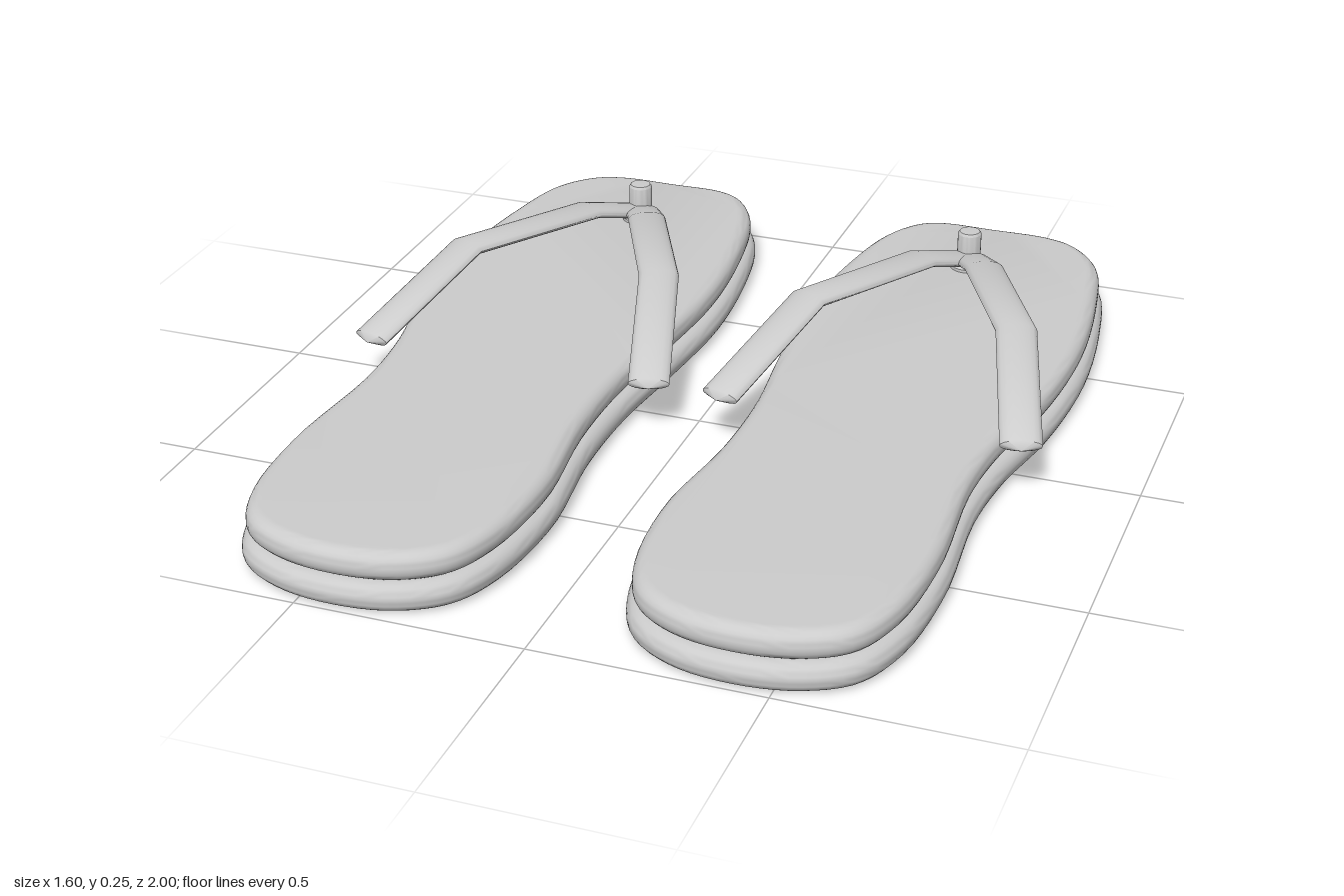
import * as THREE from 'three';
import { toCreasedNormals } from 'three/addons/utils/BufferGeometryUtils.js';

const material = new THREE.MeshStandardMaterial({ color: 0xcccccc });
const POST_X = 0.42, POST_Z = -0.735;

// Sole outline as [x, z], running around from the toe
const OUTLINE = [
  [0.42, -0.995], [0.56, -0.993], [0.64, -0.962], [0.715, -0.87], [0.757, -0.69], [0.782, -0.42],
  [0.765, -0.15], [0.72, 0.08], [0.706, 0.27], [0.725, 0.57], [0.704, 0.8], [0.65, 0.92],
  [0.55, 0.98], [0.42, 1.0], [0.29, 0.98], [0.19, 0.915], [0.138, 0.8], [0.115, 0.57],
  [0.145, 0.3], [0.146, 0.08], [0.122, -0.15], [0.102, -0.42], [0.124, -0.69], [0.165, -0.87],
  [0.225, -0.962], [0.29, -0.993],
];

function part(name, geometry) {
  const mesh = new THREE.Mesh(geometry, material);
  mesh.name = name;
  return mesh;
}

// One rounded-edge slab of the sole
function soleLayer(name, y, height, inset) {
  const curve = new THREE.CatmullRomCurve3(OUTLINE.map(([x, z]) => new THREE.Vector3(x, -z, 0)), true);
  const points = curve.getPoints(120).slice(0, -1).map((p) => new THREE.Vector2(p.x, p.y));
  const bevel = 0.029;
  const geometry = new THREE.ExtrudeGeometry(new THREE.Shape(points), {
    depth: height - 2 * bevel, bevelThickness: bevel, bevelSize: 0.032,
    bevelOffset: -0.032 - inset, bevelSegments: 6,
  });
  geometry.rotateX(-Math.PI / 2);
  geometry.translate(0, y + bevel, 0);
  return part(name, toCreasedNormals(geometry, 0.9));
}

// Flattened oval band lofted along a bent path; side is +1 or -1 about the post
function strap(name, side) {
  const path = [
    [0.005, 0.15, -0.73], [0.075, 0.203, -0.58], [0.24, 0.232, -0.225], [0.337, 0.127, 0.1],
  ].map(([x, y, z]) => new THREE.Vector3(POST_X + side * x, y, z));
  const halfWidths = [0.042, 0.045, 0.046, 0.046];
  const SIDES = 20, HALF_THICKNESS = 0.016;
  const up = new THREE.Vector3(0, 1, 0);
  const positions = [], index = [];
  path.forEach((centre, i) => {
    const before = path[Math.max(i - 1, 0)], after = path[Math.min(i + 1, path.length - 1)];
    const along = after.clone().sub(before).normalize();
    const across = up.clone().cross(along).normalize();
    const normal = along.clone().cross(across);
    for (let j = 0; j < SIDES; j++) {
      const a = (j / SIDES) * Math.PI * 2;
      const p = centre.clone()
        .addScaledVector(across, Math.cos(a) * halfWidths[i])
        .addScaledVector(normal, Math.sin(a) * HALF_THICKNESS);
      positions.push(p.x, p.y, p.z);
    }
  });
  // Skin between neighbouring sections
  for (let i = 0; i < path.length - 1; i++) {
    for (let j = 0; j < SIDES; j++) {
      const a = i * SIDES + j, b = i * SIDES + (j + 1) % SIDES;
      index.push(a, b, b + SIDES, a, b + SIDES, a + SIDES);
    }
  }
  // Rounded tip at the free end, flat cap at the post
  const tip = path[3].clone().addScaledVector(path[3].clone().sub(path[2]).normalize(), 0.016);
  positions.push(...path[0].toArray(), ...tip.toArray());
  const startCentre = path.length * SIDES, last = startCentre - SIDES;
  for (let j = 0; j < SIDES; j++) {
    const k = (j + 1) % SIDES;
    index.push(startCentre, k, j, startCentre + 1, last + j, last + k);
  }
  const geometry = new THREE.BufferGeometry();
  geometry.setAttribute('position', new THREE.Float32BufferAttribute(positions, 3));
  geometry.setIndex(index);
  return part(name, toCreasedNormals(geometry, 0.85));
}

// Toe post with a small flange at its foot and a softened top
function toePost() {
  const profile = [[0, 0.12], [0.045, 0.12], [0.045, 0.137], [0.04, 0.142], [0.028, 0.144],
    [0.028, 0.215], [0.024, 0.221], [0, 0.222]].map(([r, y]) => new THREE.Vector2(r, y));
  const geometry = new THREE.LatheGeometry(profile, 24);
  geometry.translate(POST_X, 0, POST_Z);
  return part('toePost', toCreasedNormals(geometry, 0.6));
}

function sandal(name) {
  const group = new THREE.Group();
  group.name = name;
  group.add(
    soleLayer('lowerSole', 0, 0.064, 0),
    soleLayer('upperSole', 0.064, 0.066, 0.012),
    strap('outerStrap', 1),
    strap('innerStrap', -1),
    toePost(),
  );
  return group;
}

export function createModel() {
  const model = new THREE.Group();
  model.name = 'sandals';
  const left = sandal('leftSandal');
  const right = sandal('rightSandal');
  right.scale.x = -1;
  model.add(left, right);
  return model;
}
